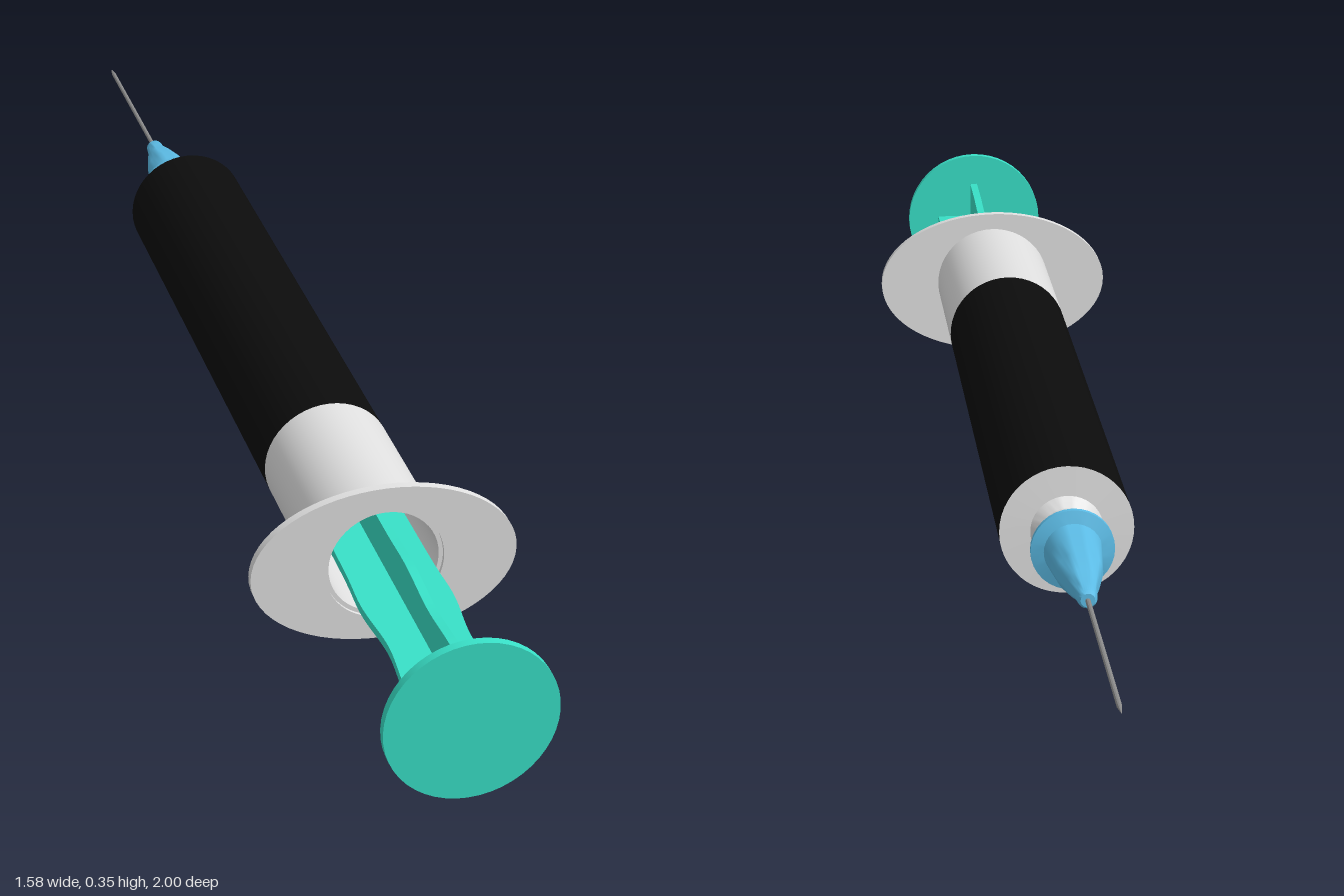
import * as THREE from 'three';
import { toCreasedNormals } from 'three/addons/utils/BufferGeometryUtils.js';

const material = (name, color, side = THREE.FrontSide) => {
  const m = new THREE.MeshStandardMaterial({ color, side });
  m.name = name;
  return m;
};

export function createModel() {
  const white = material('white plastic', 0xe0e0e0);
  const black = material('black sleeve', 0x0c0c0c);
  const teal = material('teal plastic', 0x38dfc6);
  const blue = material('blue plastic', 0x5cbce6);
  const steel = material('needle steel', 0x8a8a8a);

  // The whole syringe lies along local +z, from thumb disc to needle tip
  const syringe = new THREE.Group();
  syringe.name = 'syringe';
  const add = (name, geometry, mat) => {
    const mesh = new THREE.Mesh(geometry, mat);
    mesh.name = name;
    syringe.add(mesh);
    return mesh;
  };
  // Turned part: profile of [radius, distance along the axis]
  const turned = (name, profile, mat, segments = 48) => {
    const points = profile.map(([r, t]) => new THREE.Vector2(r, t));
    const g = new THREE.LatheGeometry(points, segments).rotateX(Math.PI / 2);
    return add(name, toCreasedNormals(g, 0.6), mat);
  };

  // Plunger: thumb disc, crossed fins and the stopper inside the barrel
  turned('thumbDisc', [[0, -0.006], [0.135, -0.006], [0.135, 0.008], [0, 0.008]], teal);
  const half = [[0.075, 0.005], [0.072, 0.1], [0.065, 0.2], [0.074, 0.31], [0.071, 0.42], [0.07, 0.68]];
  const fin = new THREE.Shape();
  fin.moveTo(-half[0][0], half[0][1]);
  fin.lineTo(half[0][0], half[0][1]);
  fin.splineThru(half.slice(1).map(([x, t]) => new THREE.Vector2(x, t)));
  fin.lineTo(-half[5][0], half[5][1]);
  fin.splineThru(half.slice(0, 5).reverse().map(([x, t]) => new THREE.Vector2(-x, t)));
  for (const [name, roll] of [['horizontalFin', 0], ['verticalFin', Math.PI / 2]]) {
    const g = new THREE.ExtrudeGeometry(fin, { depth: 0.014, bevelEnabled: false, curveSegments: 16 });
    g.translate(0, 0, -0.007).rotateX(Math.PI / 2).rotateZ(roll);
    add(name, g, teal);
  }
  turned('stopper', [[0, 0.68], [0.088, 0.68], [0.088, 0.73], [0, 0.73]], teal);

  // Oval finger flange with a round opening
  const flange = new THREE.Shape();
  flange.absellipse(0, 0, 0.217, 0.137, 0, Math.PI * 2);
  const opening = new THREE.Path();
  opening.absarc(0, 0, 0.097, 0, Math.PI * 2, true);
  flange.holes.push(opening);
  const flangeGeometry = new THREE.ExtrudeGeometry(flange, { depth: 0.014, bevelEnabled: false, curveSegments: 32 });
  add('fingerFlange', toCreasedNormals(flangeGeometry.translate(0, 0, 0.432), 0.6), white);

  // Hollow barrel, black sleeve, end cap and nozzle
  turned('barrel', [[0, 0.745], [0.09, 0.745], [0.09, 0.438], [0.107, 0.438], [0.107, 0.76]], white);
  turned('sleeve', [[0.107, 0.76], [0.107, 1.744]], black);
  turned('endCapAndNozzle', [[0.107, 1.744], [0.058, 1.746], [0.044, 1.762], [0.041, 1.82], [0.04, 1.84]], white);

  // Needle hub with collar, and needle
  turned('needleHub', [[0.04, 1.82], [0.066, 1.82], [0.066, 1.828], [0.046, 1.834], [0.042, 1.87],
    [0.036, 1.92], [0.026, 1.965], [0.018, 1.995], [0.015, 2.02], [0.011, 2.026], [0, 2.026]], blue, 32);
  turned('needle', [[0.004, 2.02], [0.004, 2.395], [0, 2.419]], steel, 10);

  // Lay it diagonally, tip raised to the back left
  syringe.position.set(-0.685, 0.137, 0.915);
  syringe.lookAt(0.785, 0.29, -1.0);
  const model = new THREE.Group();
  model.name = 'model';
  model.add(syringe);
  return model;
}
